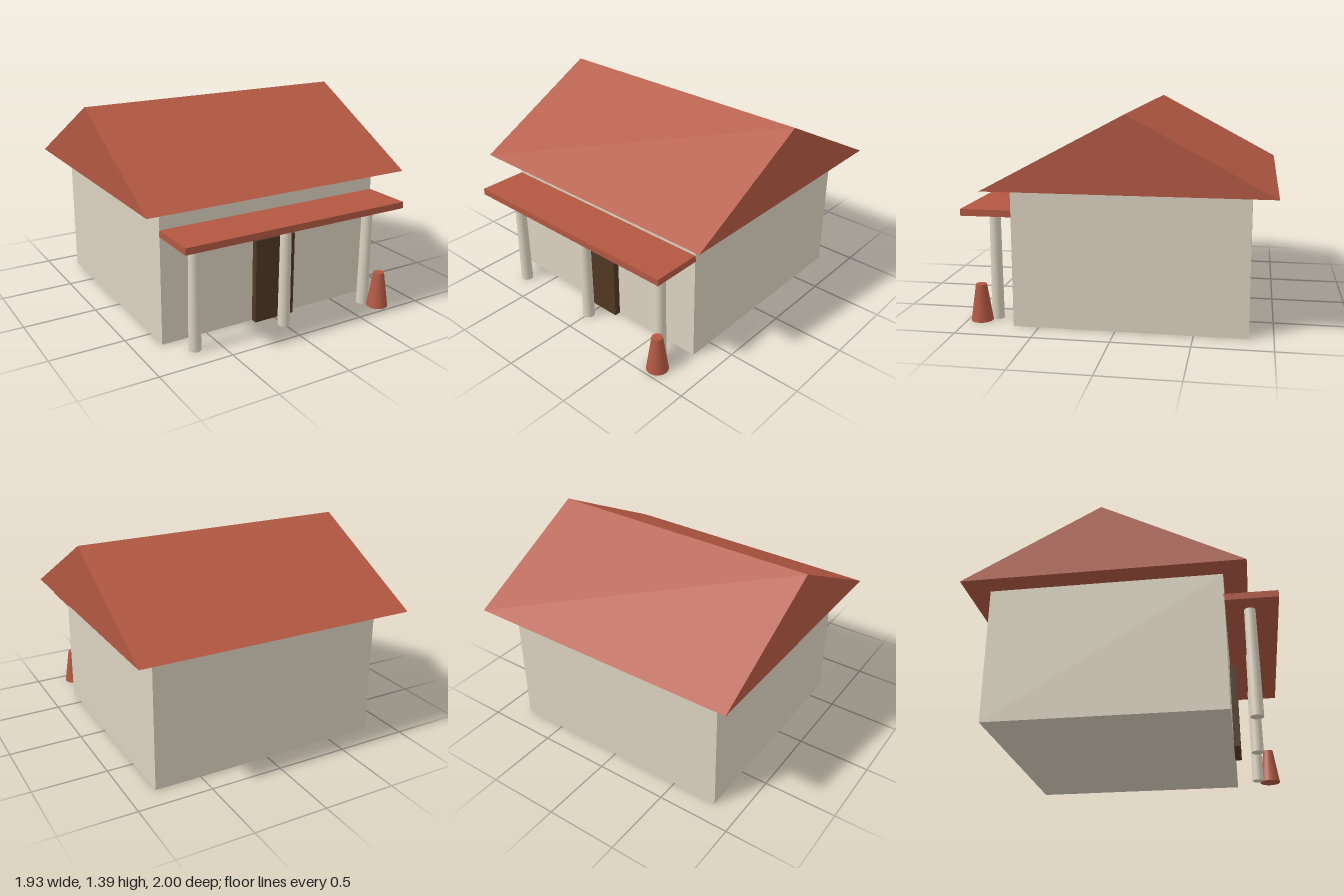
import * as THREE from 'three';

const material = (name, color) => {
  const m = new THREE.MeshStandardMaterial({ color });
  m.name = name;
  return m;
};

export function createModel() {
  const house = new THREE.Group();
  house.name = 'house';
  const plaster = material('plaster', 0xdbd2c0);
  const terracotta = material('terracotta', 0xb35842);
  const darkWood = material('darkWood', 0x513824);

  const add = (name, geometry, mat, x, y, z) => {
    const mesh = new THREE.Mesh(geometry, mat);
    mesh.name = name;
    mesh.position.set(x, y, z);
    house.add(mesh);
    return mesh;
  };
  // Box given by its width and its y and z ranges
  const box = (name, mat, w, y0, y1, z0, z1) =>
    add(name, new THREE.BoxGeometry(w, y1 - y0, z1 - z0), mat, 0, (y0 + y1) / 2, (z0 + z1) / 2);
  // Tapered round part standing on the ground
  const taper = (name, mat, rTop, rBottom, h, x, z) =>
    add(name, new THREE.CylinderGeometry(rTop, rBottom, h, 20), mat, x, h / 2, z);

  // Walls and front door
  box('walls', plaster, 1.634, 0, 0.912, -0.845, 0.667);
  box('door', darkWood, 0.3, 0, 0.58, 0.63, 0.711);

  // Gable roof: a triangle extruded along x
  const length = 1.934;
  const gable = new THREE.Shape([
    new THREE.Vector2(-0.9085, 0),
    new THREE.Vector2(0.9085, 0),
    new THREE.Vector2(0, 0.483),
  ]);
  const roof = new THREE.ExtrudeGeometry(gable, { depth: length, bevelEnabled: false });
  roof.translate(0, 0, -length / 2).rotateY(Math.PI / 2);
  add('roof', roof, terracotta, 0, 0.912, -0.0915);

  // Porch canopy on three posts
  box('porchRoof', terracotta, 1.634, 0.722, 0.766, 0.66, 1);
  for (const x of [-0.667, 0, 0.667]) taper('porchPost', plaster, 0.036, 0.041, 0.723, x, 0.82);

  // Tapered pot by the model's left post
  taper('pot', terracotta, 0.036, 0.073, 0.247, 0.725, 0.91);

  return house;
}
